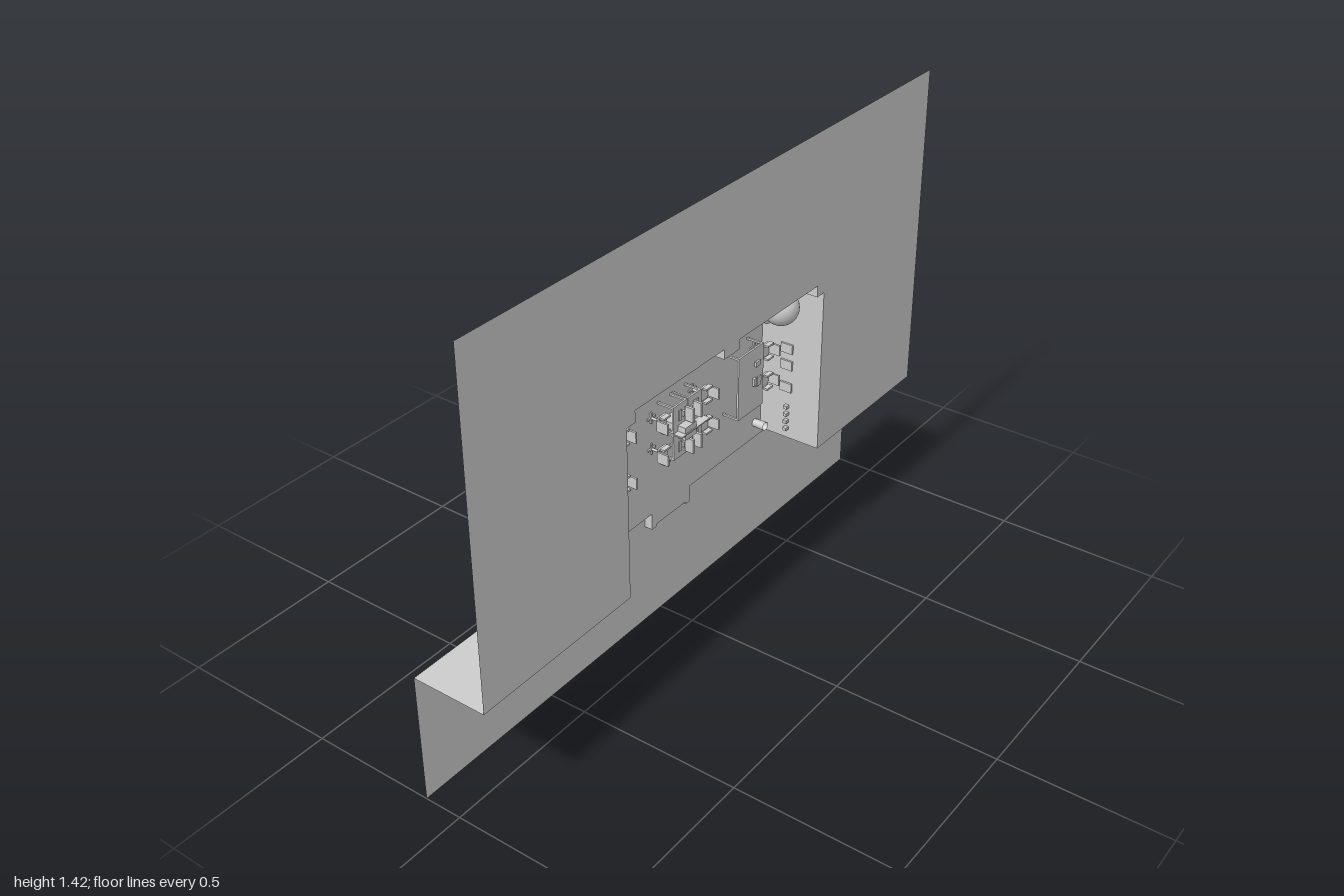
import * as THREE from 'three';

const FLOOR = -0.09, FRONT = 0.115, BACK = -0.115;

// Room outline, from bottom left over the top to bottom right
const OUTLINE = [
  [-0.43, 0.4], [-0.43, 0.92], [-0.395, 0.92], [-0.395, 0.955], [-0.015, 0.955], [-0.015, 0.925],
  [0.055, 0.925], [0.055, 0.955], [0.435, 0.955], [0.435, 0.92], [0.47, 0.92], [0.47, 0.4],
];

export function createModel() {
  const model = new THREE.Group();
  model.name = 'roomSection';
  const grey = new THREE.MeshStandardMaterial({ color: 0xcccccc, side: THREE.DoubleSide });
  grey.name = 'light grey';

  function add(name, geometry, parent = model) {
    const mesh = new THREE.Mesh(geometry, grey);
    mesh.name = name;
    parent.add(mesh);
    return mesh;
  }
  function box(name, x0, x1, y0, y1, z0, z1, parent = model) {
    const mesh = add(name, new THREE.BoxGeometry(x1 - x0, y1 - y0, z1 - z0), parent);
    mesh.position.set((x0 + x1) / 2, (y0 + y1) / 2, (z0 + z1) / 2);
    return mesh;
  }
  function sheet(name, points, z) {
    const shape = new THREE.Shape(points.map(([x, y]) => new THREE.Vector2(x, y)));
    const mesh = add(name, new THREE.ShapeGeometry(shape));
    mesh.position.z = z;
    return mesh;
  }
  function group(name) {
    const g = new THREE.Group();
    g.name = name;
    model.add(g);
    return g;
  }

  // Large sheets: upper one cut open around the room, lower one with a door notch
  sheet('upperSheet', [[-1, 0.4], ...OUTLINE, [1, 0.4], [1, 1.42], [-1, 1.42]], FRONT);
  sheet('innerCollar', [[-0.5, 0.4], ...OUTLINE, [0.54, 0.4], [0.54, 1.01], [-0.5, 1.01]], 0.093);
  sheet('lowerSheet', [[-1, 0], [1, 0], [1, 0.4], [0.09, 0.4], [0.09, 0.335],
    [-0.05, 0.335], [-0.05, 0.4], [-1, 0.4]], BACK);
  for (const [x0, x1] of [[-1, -0.43], [0.47, 1]]) {
    const ledge = add('ledge', new THREE.PlaneGeometry(x1 - x0, FRONT - BACK).rotateX(-Math.PI / 2));
    ledge.position.set((x0 + x1) / 2, 0.4, 0);
  }

  // Room floor with the doorway tongue, and walls along the outline
  sheet('roomFloor', [...OUTLINE, [0.09, 0.4], [0.09, 0.335], [-0.05, 0.335], [-0.05, 0.4]], FLOOR);
  const walls = group('roomWalls');
  for (let i = 0; i < OUTLINE.length - 1; i++) {
    const [ax, ay] = OUTLINE[i], [bx, by] = OUTLINE[i + 1];
    const g = new THREE.PlaneGeometry(Math.hypot(bx - ax, by - ay), FRONT - FLOOR).rotateX(Math.PI / 2);
    const wall = add('wall', g, walls);
    wall.position.set((ax + bx) / 2, (ay + by) / 2, (FRONT + FLOOR) / 2);
    wall.rotation.z = Math.atan2(by - ay, bx - ax);
  }

  // Skirting along the lower edge, stepping down around the doorway
  const trim = group('skirting');
  box('skirtingRight', -0.5, -0.05, 0.38, 0.4, -0.12, FLOOR, trim);
  box('skirtingLeft', 0.09, 0.54, 0.38, 0.4, -0.12, FLOOR, trim);
  box('doorPostRight', -0.07, -0.05, 0.327, 0.38, -0.12, FLOOR, trim);
  box('doorPostLeft', 0.09, 0.11, 0.327, 0.38, -0.12, FLOOR, trim);

  // Desk: top and four legs
  function desk(x0, x1, y0, y1) {
    const g = group('desk');
    box('deskTop', x0, x1, y0, y1, -0.04, -0.034, g);
    for (const x of [x0, x1 - 0.006])
      for (const y of [y0, y1 - 0.006]) box('deskLeg', x, x + 0.006, y, y + 0.006, FLOOR, -0.04, g);
  }
  // Chair facing side * x: seat, backrest, armrests, stem and foot
  function chair(x, y, side) {
    const g = group('chair');
    box('chairSeat', -0.018, 0.018, -0.02, 0.02, -0.055, -0.047, g);
    box('chairBack', -0.026, -0.02, -0.017, 0.017, -0.05, -0.012, g);
    for (const s of [-1, 1])
      box('chairArm', -0.018, 0.012, s * 0.022 - 0.003, s * 0.022 + 0.003, -0.045, -0.03, g);
    const stem = add('chairStem', new THREE.CylinderGeometry(0.004, 0.004, 0.033, 8).rotateX(Math.PI / 2), g);
    stem.position.z = -0.071;
    box('chairFoot', -0.017, 0.017, -0.003, 0.003, FLOOR, -0.085, g);
    box('chairFoot', -0.003, 0.003, -0.017, 0.017, FLOOR, -0.085, g);
    g.position.set(x, y, 0);
    if (side < 0) g.rotation.z = Math.PI;
  }
  // Screen with stand, and a keyboard on the side * x edge
  function computer(x, y, side) {
    const g = group('computer');
    box('screen', -0.004, 0.004, -0.022, 0.022, -0.028, 0, g);
    box('screenStand', -0.009, 0.009, -0.008, 0.008, -0.034, -0.028, g);
    box('keyboard', 0.014, 0.026, -0.016, 0.016, -0.034, -0.031, g);
    g.position.set(x, y, 0);
    if (side < 0) g.rotation.z = Math.PI;
  }

  // Tall cabinets and open shelf on the right-hand wall
  box('cabinet', -0.42, -0.358, 0.69, 0.805, FLOOR, 0.045);
  box('cabinet', -0.42, -0.358, 0.567, 0.685, FLOOR, 0.045);
  const shelf = group('shelf');
  for (const y of [0.425, 0.475, 0.53]) box('shelfSide', -0.427, -0.385, y, y + 0.005, FLOOR, 0.025, shelf);
  for (let i = 0; i < 4; i++) {
    const z = FLOOR + i * 0.0365;
    box('shelfBoard', -0.427, -0.385, 0.425, 0.535, z, z + 0.005, shelf);
  }
  box('lowBox', -0.427, -0.39, 0.403, 0.424, FLOOR, -0.01);

  // Right-hand work place
  desk(-0.355, -0.29, 0.69, 0.805);
  desk(-0.355, -0.29, 0.567, 0.685);
  computer(-0.335, 0.745, 1);
  computer(-0.335, 0.67, 1);
  box('deskTray', -0.35, -0.3, 0.77, 0.795, -0.034, -0.015);
  chair(-0.255, 0.745, -1);
  chair(-0.255, 0.6, -1);

  // Central block of four desks
  for (const [y0, y1] of [[0.565, 0.648], [0.652, 0.735]]) {
    desk(-0.04, 0.023, y0, y1);
    desk(0.027, 0.09, y0, y1);
  }
  for (const y of [0.6, 0.7]) {
    computer(0.008, y, -1);
    computer(0.045, y, 1);
    chair(-0.07, y, 1);
    chair(0.12, y, -1);
  }
  box('deskDivider', -0.04, 0.09, 0.648, 0.652, -0.034, -0.005);
  box('deskCabinet', -0.02, 0.03, 0.63, 0.67, FLOOR, -0.008);

  // Large left-hand table with a few things on it
  desk(0.27, 0.395, 0.54, 0.745);
  box('notebook', 0.35, 0.372, 0.685, 0.7, -0.034, -0.028);
  box('paperTray', 0.34, 0.352, 0.625, 0.65, -0.034, -0.026);
  box('paperTray', 0.36, 0.38, 0.615, 0.645, -0.034, -0.03);
  chair(0.425, 0.7, -1);
  chair(0.425, 0.6, -1);

  // Sofa with a round cushion along the top wall
  const sofa = group('sofa');
  box('sofaBase', -0.25, -0.05, 0.88, 0.945, FLOOR, -0.06, sofa);
  const cushion = add('sofaCushion', new THREE.CylinderGeometry(0.032, 0.032, 0.14, 24).rotateZ(Math.PI / 2), sofa);
  cushion.position.set(-0.15, 0.912, -0.055);
  for (const x of [-0.255, -0.078]) box('sofaArm', x, x + 0.028, 0.875, 0.95, FLOOR, -0.035, sofa);
  box('sideTable', -0.297, -0.267, 0.9, 0.94, FLOOR, -0.05);

  // Sideboard with appliances, and small cupboards
  box('sideboard', 0.08, 0.215, 0.902, 0.947, FLOOR, -0.03);
  for (const x of [0.088, 0.12, 0.165]) box('appliance', x, x + 0.024, 0.912, 0.938, -0.03, -0.005);
  box('cupboard', 0.245, 0.31, 0.905, 0.943, FLOOR, -0.035);
  box('smallBox', 0.322, 0.347, 0.91, 0.943, FLOOR, -0.04);

  // Round plant in a pot
  const plant = group('plant');
  const pot = add('plantPot', new THREE.CylinderGeometry(0.032, 0.024, 0.07, 20).rotateX(Math.PI / 2), plant);
  pot.position.set(0.4, 0.842, -0.055);
  const crown = add('plantCrown', new THREE.SphereGeometry(0.053, 28, 20), plant);
  crown.position.set(0.405, 0.87, 0.015);

  // Bin, coat hooks and switches by the left-hand wall
  const bin = add('bin', new THREE.CylinderGeometry(0.014, 0.012, 0.04, 16, 1, true).rotateX(Math.PI / 2));
  bin.position.set(0.438, 0.433, -0.07);
  for (const y of [0.43, 0.455, 0.48, 0.505]) box('coatHook', 0.455, 0.469, y, y + 0.01, 0.0, 0.012);
  for (const y of [0.56, 0.635, 0.69]) box('wallPanel', 0.463, 0.469, y, y + 0.03, -0.02, 0.02);

  return model;
}
